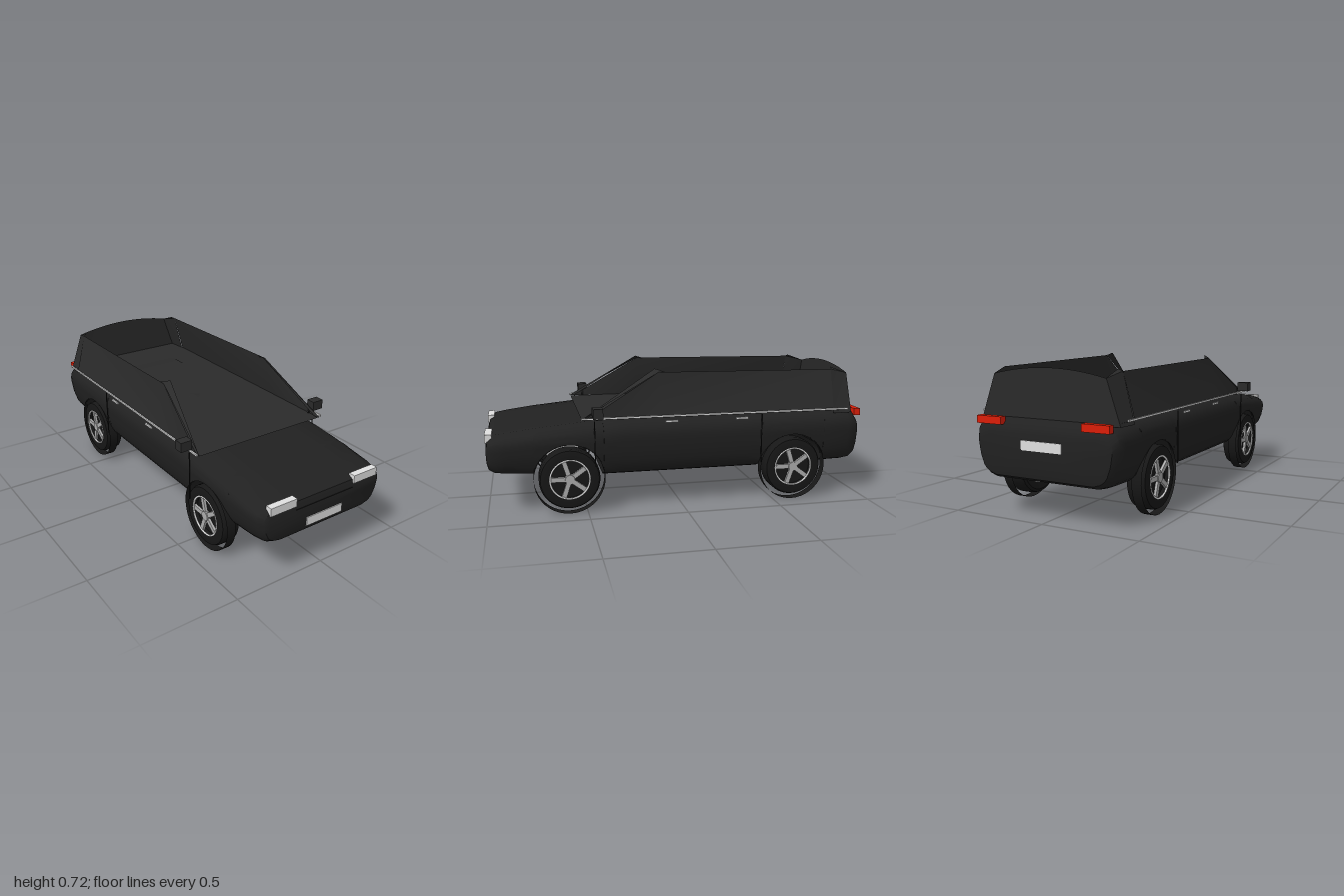
import * as THREE from 'three';
import { toCreasedNormals } from 'three/addons/utils/BufferGeometryUtils.js';

const mat = (name, color, side = THREE.FrontSide) => {
  const m = new THREE.MeshStandardMaterial({ color, side });
  m.name = name;
  return m;
};

const lerpTable = (table, t) => {
  let i = 1;
  while (i < table.length - 1 && t > table[i][0]) i++;
  const a = table[i - 1], b = table[i];
  const k = THREE.MathUtils.clamp((t - a[0]) / (b[0] - a[0]), 0, 1);
  return a.map((v, n) => v + (b[n] - v) * k);
};

// Surface through rows of [x, y, z] points
function loft(rows, closed = false, crease = 0.6) {
  const n = rows[0].length, index = [];
  for (let i = 0; i < rows.length - 1; i++)
    for (let j = 0; j < (closed ? n : n - 1); j++) {
      const k = (j + 1) % n, a = i * n + j, b = i * n + k;
      index.push(a, b, b + n, a, b + n, a + n);
    }
  const g = new THREE.BufferGeometry();
  g.setAttribute('position', new THREE.Float32BufferAttribute(rows.flat(2), 3));
  g.setIndex(index);
  g.computeVertexNormals();
  return toCreasedNormals(g, crease);
}

const WHEEL_Z = [0.589, -0.604], AXLE_Y = 0.18, ARCH_R = 0.177;

// z, bottom, top, half width
const HULL = [
  [-0.993, 0.23, 0.4, 0.34], [-0.986, 0.2, 0.43, 0.365], [-0.96, 0.185, 0.462, 0.385],
  [-0.92, 0.18, 0.474, 0.395], [-0.8, 0.178, 0.475, 0.397], [-0.43, 0.17, 0.475, 0.397],
  [0.3, 0.17, 0.475, 0.397], [0.45, 0.17, 0.465, 0.397], [0.75, 0.19, 0.437, 0.392],
  [0.9, 0.198, 0.418, 0.385], [0.96, 0.205, 0.408, 0.375], [0.988, 0.22, 0.392, 0.355],
  [0.996, 0.25, 0.365, 0.335],
];
// height fraction, width fraction
const FLANK = [[0, 0.72], [0.04, 0.82], [0.14, 0.91], [0.4, 0.97], [0.7, 1], [0.83, 0.985], [0.93, 0.93], [1, 0.82]];

function hullGeometry() {
  const zs = HULL.map((h) => h[0]);
  for (let i = 1; i < 10; i++) zs.push(-0.43 + i * 0.084);
  for (const c of WHEEL_Z)
    for (let i = 0; i <= 20; i++) zs.push(c + ARCH_R * Math.cos((i / 20) * Math.PI));
  zs.sort((a, b) => a - b);
  const rows = zs.map((z) => {
    const [, yb, yt, w] = lerpTable(HULL, z);
    let y0 = yb;
    for (const c of WHEEL_Z) {
      const d = ARCH_R ** 2 - (z - c) ** 2;
      if (d > 0) y0 = Math.max(y0, AXLE_Y + Math.sqrt(d));
    }
    const half = [];
    for (let i = 0; i <= 14; i++) {
      const t = 0.5 - 0.5 * Math.cos((i / 14) * Math.PI), y = y0 + (yt - y0) * t;
      half.push([w * lerpTable(FLANK, (y - yb) / (yt - yb))[1], y, z]);
    }
    half.push([w * 0.5, yt, z]);
    half.unshift([half[0][0] * 0.6, y0, z]);
    return [...half, ...half.map(([x, y]) => [-x, y, z]).reverse()];
  });
  // Close both ends
  const tip = (row) => row.map(() => [0, 0.31, row[0][2]]);
  return loft([tip(rows[0]), ...rows, tip(rows[rows.length - 1])], true);
}

export function createModel() {
  const car = new THREE.Group();
  car.name = 'car';
  const paint = mat('black paint', 0x212121);
  const panel = mat('dark panel', 0x2a2a2a, THREE.DoubleSide);
  const rubber = mat('rubber', 0x171717, THREE.DoubleSide);
  const alloy = mat('alloy', 0xacacac);
  const lens = mat('pale lens', 0xe0e0e0);
  const red = mat('red lens', 0xdc1e08);

  const add = (name, geo, material, parent = car) => {
    const m = new THREE.Mesh(geo, material);
    m.name = name;
    parent.add(m);
    return m;
  };
  const box = (name, material, size, pos, parent = car) => {
    const m = add(name, new THREE.BoxGeometry(...size), material, parent);
    m.position.set(...pos);
    return m;
  };

  add('body', hullGeometry(), paint);

  // Cabin deck with a shallow rise and a small knob
  add('deck', loft([
    [[0.385, 0.476, 0.52], [-0.385, 0.476, 0.52]],
    [[0.387, 0.477, 0.3], [-0.387, 0.477, 0.3]],
    [[0.387, 0.477, -0.83], [-0.387, 0.477, -0.83]],
    [[0.372, 0.477, -0.936], [-0.372, 0.477, -0.936]],
  ]), panel);
  add('deckRise', loft([[-0.69, 0.478], [-0.62, 0.483], [-0.5, 0.478]].map(([z, y]) =>
    [[-0.22, y, z], [0.22, y, z]]), false, 0.02), panel);
  add('deckKnob', new THREE.ConeGeometry(0.04, 0.006, 4), panel).position.set(0, 0.48, -0.1);

  // Upright rear screen with a curved top edge
  const us = Array.from({ length: 17 }, (_, i) => i / 8 - 1);
  add('rearScreen', loft([
    us.map((u) => [u * 0.378, 0.46, -0.937]),
    us.map((u) => [u * 0.305, 0.667 + 0.036 * (1 - u * u), -0.932]),
  ]), panel);

  for (const s of [1, -1]) {
    // Side screen, rear corner and front pillar
    add('sideScreen', loft([
      [[s * 0.385, 0.477, 0.5], [s * 0.384, 0.485, 0.49]],
      [[s * 0.387, 0.477, 0.12], [s * 0.332, 0.703, 0.12]],
      [[s * 0.387, 0.477, -0.83], [s * 0.328, 0.692, -0.83]],
    ]), panel);
    add('rearCorner', loft([
      [[s * 0.387, 0.46, -0.83], [s * 0.328, 0.692, -0.83], [s * 0.307, 0.702, -0.835]],
      [[s * 0.378, 0.46, -0.937], [s * 0.305, 0.667, -0.932], [s * 0.303, 0.667, -0.932]],
    ], false, 0.3), panel);
    add('frontPillar', loft([
      [[s * 0.387, 0.478, 0.53], [s * 0.375, 0.48, 0.5]],
      [[s * 0.332, 0.703, 0.12], [s * 0.3, 0.718, 0.135]],
      [[s * 0.332, 0.7, 0.08], [s * 0.322, 0.7, 0.08]],
    ]), panel);

    // Trim, seams, handles and mirror
    box('waistStrip', lens, [0.008, 0.009, 1.43], [s * 0.397, 0.486, -0.19]);
    for (const z of [0.46, -0.42]) box('doorSeam', rubber, [0.004, 0.26, 0.005], [s * 0.4, 0.345, z]);
    for (const z of [0.065, -0.31]) box('doorHandle', lens, [0.008, 0.01, 0.066], [s * 0.399, 0.459, z]);
    box('mirror', panel, [0.064, 0.05, 0.05], [s * 0.423, 0.52, 0.447]);
    box('mirrorStem', rubber, [0.02, 0.03, 0.01], [s * 0.388, 0.492, 0.447]);

    // Lamps
    box('headlight', lens, [0.15, 0.042, 0.035], [s * 0.253, 0.394, 0.982]);
    box('tailLight', red, [0.14, 0.036, 0.035], [s * 0.289, 0.457, -0.982]);
  }

  // Blank plates and bumper seam
  box('frontPlate', lens, [0.22, 0.045, 0.008], [0, 0.267, 0.997]);
  box('rearPlate', lens, [0.22, 0.045, 0.008], [0, 0.353, -0.993]);
  box('bumperSeam', rubber, [0.35, 0.004, 0.004], [0, 0.352, 0.996]);

  // Wheels
  const tyreProfile = [[0.1, -0.045], [0.135, -0.052], [0.149, -0.045], [0.155, -0.028], [0.155, 0.034],
    [0.148, 0.048], [0.13, 0.052], [0.104, 0.051], [0.1, 0.04], [0.1, -0.045]].map((p) => new THREE.Vector2(...p));
  const onAxle = (geo) => geo.rotateZ(-Math.PI / 2);
  const tyre = onAxle(toCreasedNormals(new THREE.LatheGeometry(tyreProfile, 40), 0.6));
  const disc = onAxle(new THREE.CylinderGeometry(0.1, 0.1, 0.01, 32));
  const hub = onAxle(new THREE.CylinderGeometry(0.024, 0.027, 0.02, 20));
  const rim = new THREE.TorusGeometry(0.1, 0.005, 8, 40).rotateY(Math.PI / 2);
  const liner = onAxle(new THREE.CylinderGeometry(0.18, 0.18, 0.05, 40, 1, true));

  for (const s of [1, -1]) for (const z of WHEEL_Z) {
    const wheel = new THREE.Group();
    wheel.name = 'wheel';
    wheel.position.set(s * 0.347, AXLE_Y, z);
    if (s < 0) wheel.rotation.y = Math.PI;
    car.add(wheel);
    add('tyre', tyre, rubber, wheel);
    add('rim', rim, lens, wheel).position.x = 0.049;
    add('wheelWell', disc, rubber, wheel).position.x = 0.02;
    add('innerDisc', disc, alloy, wheel).position.x = -0.043;
    add('hub', hub, alloy, wheel).position.x = 0.043;
    for (let i = 0; i < 5; i++) {
      const spoke = new THREE.Group();
      spoke.name = 'spoke';
      spoke.rotation.x = (i / 5) * Math.PI * 2 + 0.3;
      wheel.add(spoke);
      box('spokeBar', alloy, [0.014, 0.085, 0.024], [0.042, 0.057, 0], spoke);
    }
    add('archLiner', liner, rubber, wheel).position.x = 0.021;
  }
  return car;
}
